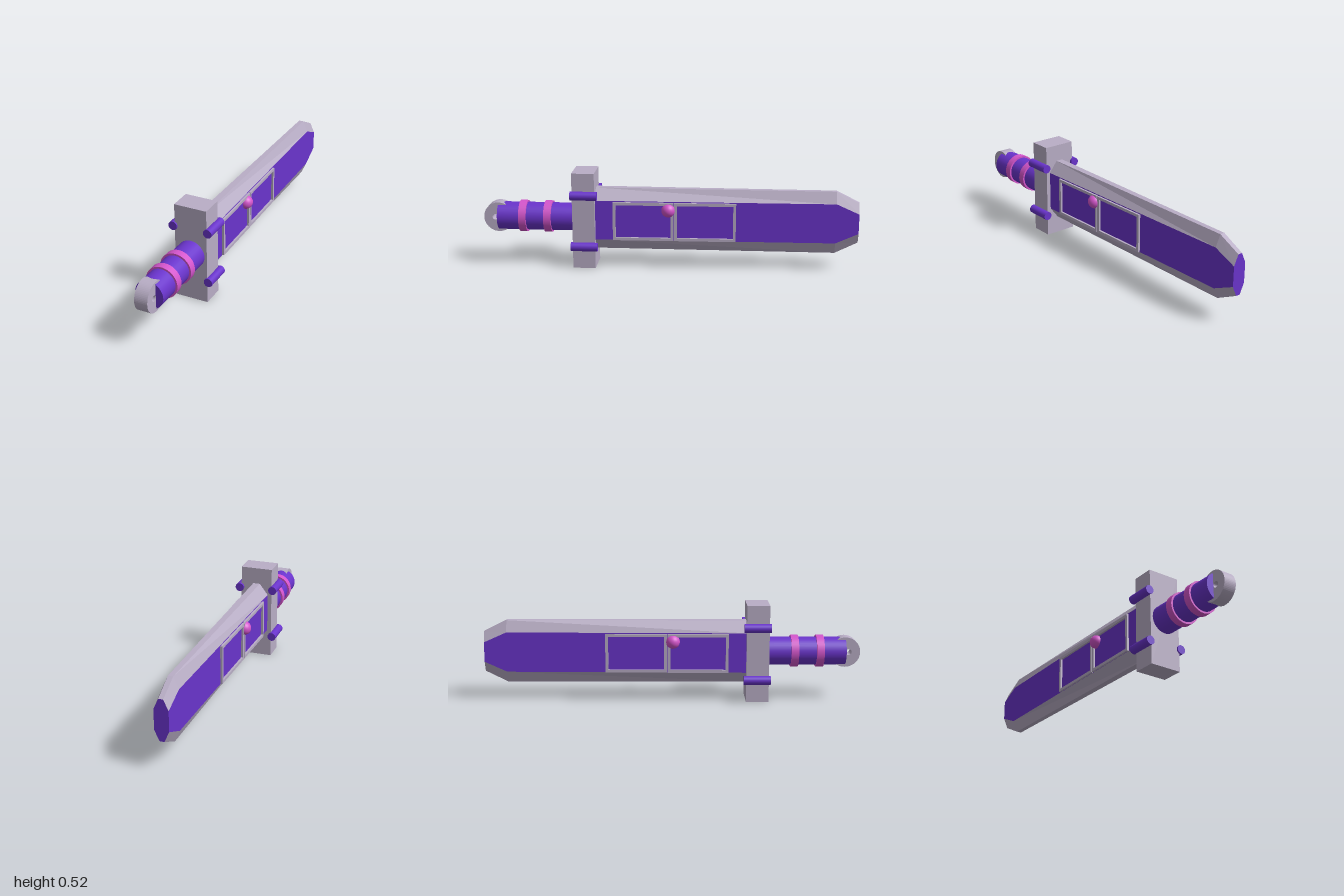
import * as THREE from 'three';

const AXIS_Y = 0.26;

export function createModel() {
  const model = new THREE.Group();
  model.name = 'sword';
  const mat = (name, color) => {
    const m = new THREE.MeshStandardMaterial({ color });
    m.name = name;
    return m;
  };
  const steel = mat('pale steel', 0xb9aec6);
  const purple = mat('purple', 0x6a34cc);
  const pink = mat('pink', 0xd455cc);

  const add = (name, geometry, material, x, y, z, parent = model) => {
    const mesh = new THREE.Mesh(geometry, material);
    mesh.name = name;
    mesh.position.set(x, y, z);
    parent.add(mesh);
    return mesh;
  };
  // Cylinder lying along z between two depths
  const rod = (name, r, z0, z1, material, x, y, sides = 32) =>
    add(name, new THREE.CylinderGeometry(r, r, z1 - z0, sides).rotateX(Math.PI / 2),
      material, x, y, (z0 + z1) / 2);

  // Blade: eight-sided sections joined from guard to tip
  const section = (z, w, e, flat, tall) => [
    [w, -flat], [w, flat], [e, tall], [-e, tall],
    [-w, flat], [-w, -flat], [-e, -tall], [e, -tall],
  ].map(([x, y]) => [x, AXIS_Y + 0.002 + y, z]);
  const sections = [
    section(0.4, 0.066, 0.019, 0.107, 0.168),
    section(-0.88, 0.04, 0.013, 0.107, 0.168),
    section(-1, 0.037, 0.012, 0.053, 0.108),
  ];
  const faces = { steel: [], purple: [] };
  for (let s = 0; s < 2; s++) {
    for (let i = 0; i < 8; i++) {
      const j = (i + 1) % 8;
      const [a, b, c, d] = [sections[s][i], sections[s][j], sections[s + 1][i], sections[s + 1][j]];
      faces[i % 4 === 0 ? 'purple' : 'steel'].push(...a, ...c, ...b, ...b, ...c, ...d);
    }
  }
  const tip = sections[2];
  for (let i = 1; i < 7; i++) faces.purple.push(...tip[0], ...tip[i + 1], ...tip[i]);
  const bladePart = (name, points, material) => {
    const g = new THREE.BufferGeometry();
    g.setAttribute('position', new THREE.Float32BufferAttribute(points, 3));
    g.computeVertexNormals();
    add(name, g, material, 0, 0, 0);
  };
  bladePart('bladeEdges', faces.steel, steel);
  bladePart('bladeFlats', faces.purple, purple);

  // Raised double frame and round gem on each flat
  const frameShape = (z0, z1) => {
    const rect = (target, a, b, h) => {
      target.moveTo(a, -h);
      target.lineTo(b, -h);
      target.lineTo(b, h);
      target.lineTo(a, h);
      target.closePath();
      return target;
    };
    const shape = rect(new THREE.Shape(), z0, z1, 0.104);
    shape.holes.push(rect(new THREE.Path(), z0 + 0.015, z1 - 0.015, 0.089));
    return shape;
  };
  for (const side of [1, -1]) {
    const name = side > 0 ? 'left' : 'right';
    const frame = new THREE.Group();
    frame.name = name + 'Frame';
    frame.position.set(side * 0.058, AXIS_Y, 0);
    frame.rotation.y = side * 0.0203;
    model.add(frame);
    for (const [z0, z1] of [[-0.355, -0.029], [-0.025, 0.298]]) {
      const g = new THREE.ExtrudeGeometry(frameShape(z0, z1), { depth: 0.022, bevelEnabled: false });
      g.translate(0, 0, -0.011).rotateY(-Math.PI / 2);
      add('framePanel', g, steel, 0, 0, 0, frame);
    }
    add(name + 'Gem', new THREE.SphereGeometry(0.037, 24, 16), pink, side * 0.058, 0.322, 0.003);
  }

  // Guard block with four short pegs
  add('guard', new THREE.BoxGeometry(0.176, 0.52, 0.12), steel, 0, 0.26, 0.452);
  for (const x of [-0.096, 0.096])
    for (const y of [0.121, 0.401]) rod('guardPeg', 0.0235, 0.378, 0.52, purple, x, y, 24);

  // Grip with two bands
  rod('grip', 0.075, 0.5, 0.922, purple, 0, AXIS_Y + 0.001);
  for (const z of [0.65, 0.785]) rod('gripBand', 0.085, z - 0.02, z + 0.02, pink, 0, AXIS_Y + 0.001);

  // Pommel disc with a small hole
  const disc = new THREE.Shape().absarc(0, 0, 0.08, 0, Math.PI * 2);
  disc.holes.push(new THREE.Path().absarc(0.019, 0, 0.016, 0, Math.PI * 2, true));
  const pommel = new THREE.ExtrudeGeometry(disc, { depth: 0.07, bevelEnabled: false, curveSegments: 32 });
  pommel.translate(0, 0, -0.035).rotateY(-Math.PI / 2);
  add('pommel', pommel, steel, 0, AXIS_Y, 0.92);

  return model;
}
